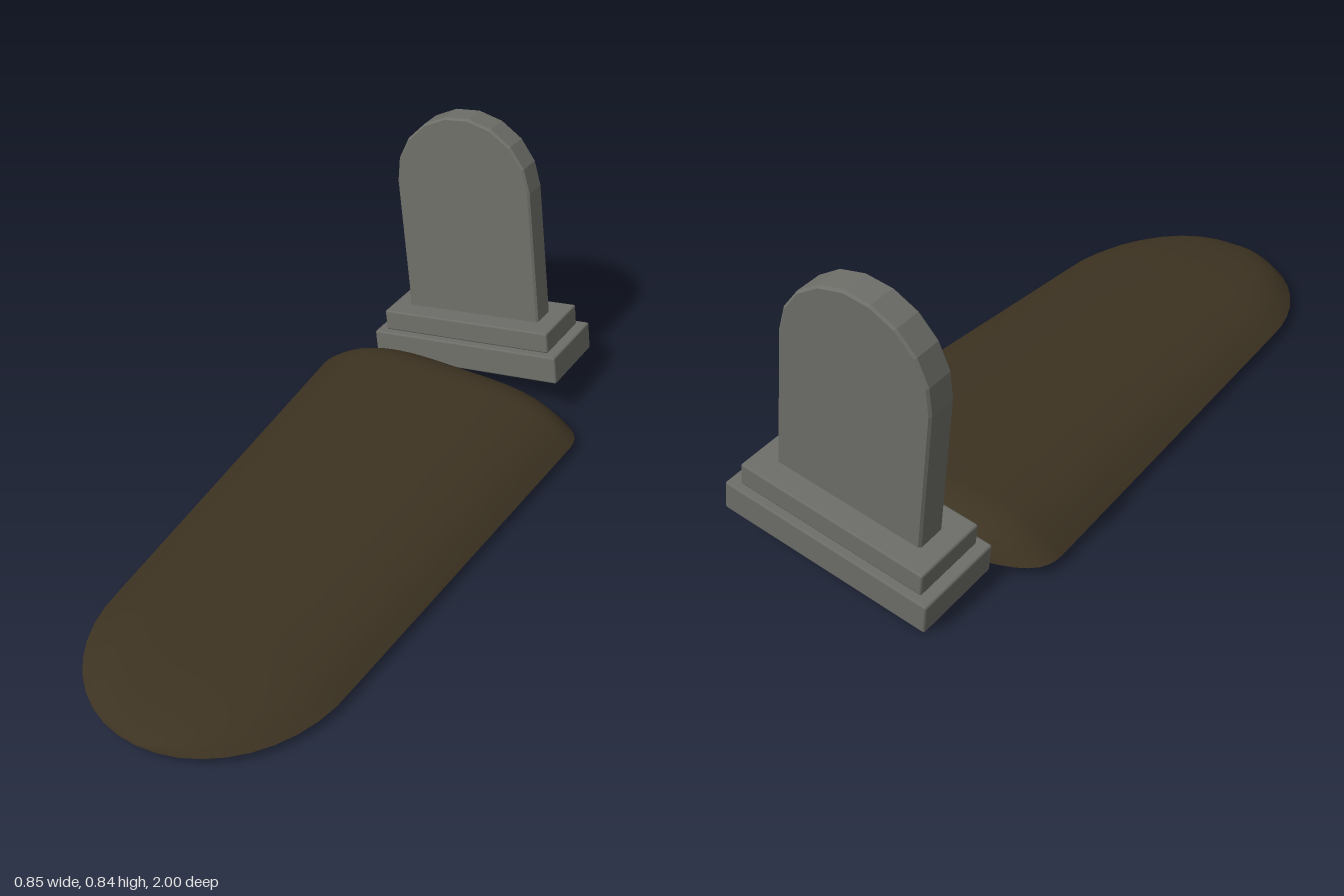
import * as THREE from 'three';
import { RoundedBoxGeometry } from 'three/addons/geometries/RoundedBoxGeometry.js';

const stone = new THREE.MeshStandardMaterial({ color: 0x6e6e69 });
stone.name = 'grey stone';
const soil = new THREE.MeshStandardMaterial({ color: 0x3d3322, side: THREE.DoubleSide });
soil.name = 'brown soil';

function addMesh(parent, name, geometry, material) {
  const mesh = new THREE.Mesh(geometry, material);
  mesh.name = name;
  parent.add(mesh);
  return mesh;
}

// Slab with a nine-sided arched top and narrow bevelled edges
function slabGeometry(halfWidth, straight, depth) {
  const bevel = 0.006;
  const r = halfWidth - bevel;
  const shape = new THREE.Shape();
  shape.moveTo(-r, 0);
  shape.lineTo(r, 0);
  for (let i = 0; i <= 9; i++) {
    const a = (i / 9) * Math.PI;
    shape.lineTo(r * Math.cos(a), straight + r * Math.sin(a));
  }
  const geometry = new THREE.ExtrudeGeometry(shape, {
    depth: depth - 2 * bevel,
    bevelEnabled: true,
    bevelSize: bevel,
    bevelThickness: bevel,
    bevelSegments: 1,
  });
  return geometry.translate(0, 0, bevel - depth / 2);
}

// Open soil shell: domed across its width, tapering to a rounded foot
function moundGeometry() {
  const headZ = -0.6, footZ = 0.58, headLength = 0.145, footLength = 0.42;
  const across = 20, ends = 10, middle = 8;
  const rows = [];
  for (let i = 0; i < ends; i++) {
    const t = Math.cos((i / ends) * Math.PI / 2);
    rows.push({
      z: headZ - headLength * t,
      w: Math.pow(1 - Math.pow(t, 2.75), 1 / 2.75),
      h: Math.sqrt(1 - t * t),
    });
  }
  for (let i = 0; i < middle; i++) {
    rows.push({ z: THREE.MathUtils.lerp(headZ, footZ, i / middle), w: 1, h: 1 });
  }
  for (let i = 0; i <= ends; i++) {
    const a = (i / ends) * Math.PI / 2;
    rows.push({ z: footZ + footLength * Math.sin(a), w: Math.cos(a), h: Math.cos(a) });
  }

  const geometry = new THREE.PlaneGeometry(2, 2, across, rows.length - 1);
  const pos = geometry.attributes.position;
  for (let i = 0; i < pos.count; i++) {
    const u = pos.getX(i);
    const { z, w, h } = rows[Math.floor(i / (across + 1))];
    const s = THREE.MathUtils.clamp((z - headZ) / (footZ - headZ), 0, 1);
    const halfWidth = THREE.MathUtils.lerp(0.425, 0.36, s) * w;
    const height = THREE.MathUtils.lerp(0.101, 0.07, s) * h;
    pos.setXYZ(i, u * halfWidth, 0.027 + height * (1 - Math.pow(Math.abs(u), 4)), z);
  }
  geometry.computeVertexNormals();
  return geometry;
}

export function createModel() {
  const model = new THREE.Group();
  model.name = 'grave';

  // Headstone, sunk on one side and leaning back
  const headstone = new THREE.Group();
  headstone.name = 'headstone';
  headstone.position.set(0, 0.0625, -0.865);
  headstone.rotation.set(THREE.MathUtils.degToRad(-4), 0, THREE.MathUtils.degToRad(10));
  model.add(headstone);

  // Two stepped plinth blocks: name, width, height, depth
  let y = 0;
  for (const [name, w, h, d] of [
    ['lowerPlinth', 0.62, 0.088, 0.257],
    ['upperPlinth', 0.556, 0.066, 0.215],
  ]) {
    const block = addMesh(headstone, name, new RoundedBoxGeometry(w, h, d, 1, 0.006), stone);
    block.position.y = y + h / 2;
    y += h;
  }
  addMesh(headstone, 'archedSlab', slabGeometry(0.22, 0.416, 0.086), stone).position.y = y;

  addMesh(model, 'soilMound', moundGeometry(), soil);
  return model;
}
